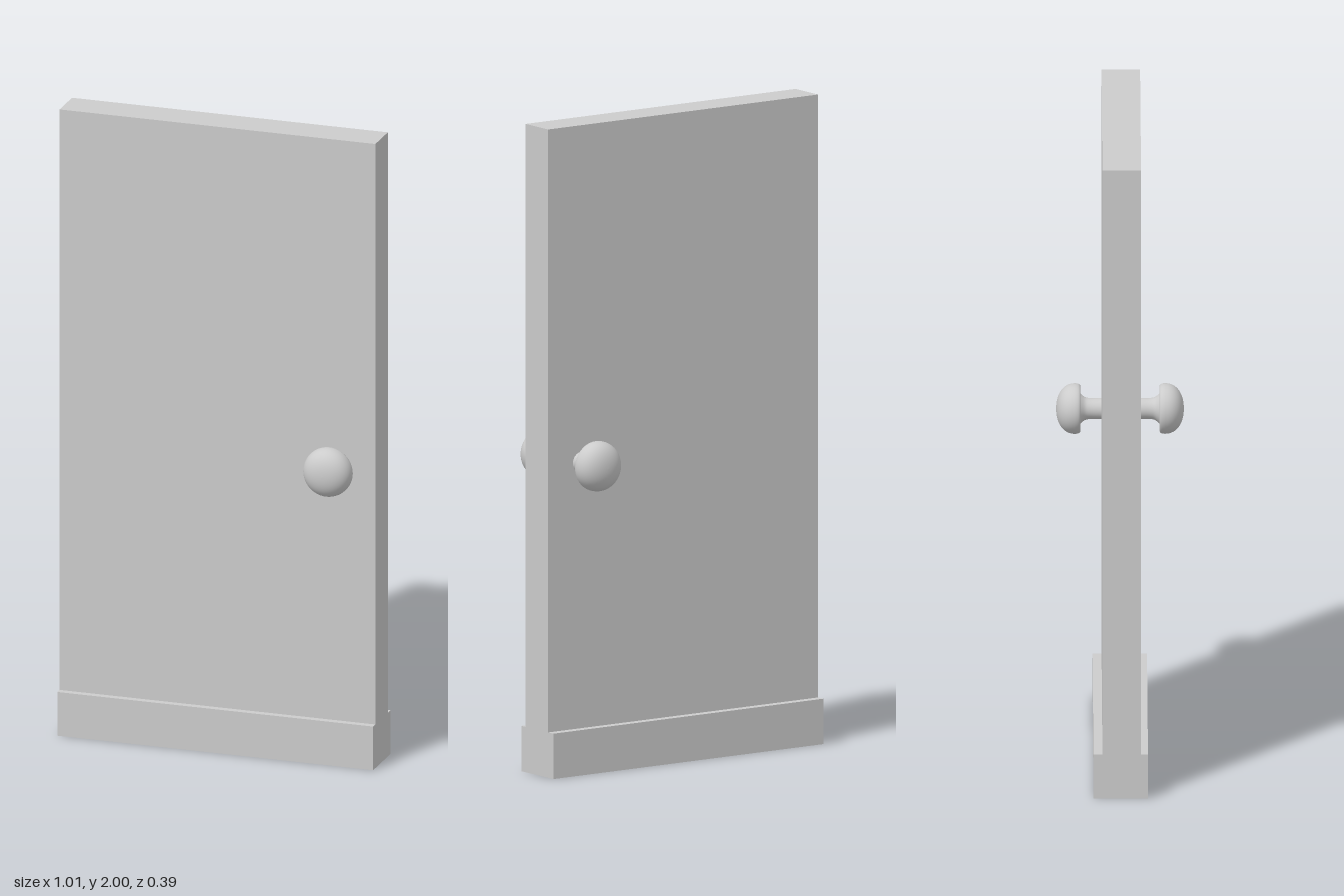
import * as THREE from 'three';

const material = new THREE.MeshStandardMaterial({ color: 0xcccccc });

function addMesh(parent, name, geometry) {
  const mesh = new THREE.Mesh(geometry, material);
  mesh.name = name;
  parent.add(mesh);
  return mesh;
}

// Knob turned around y: y is the distance from the middle of the door
function makeKnob(name) {
  const knob = new THREE.Group();
  knob.name = name;

  // Slim neck flaring out under the head
  const neck = new THREE.SplineCurve([
    [0.033, 0.045], [0.032, 0.07], [0.032, 0.09], [0.035, 0.106], [0.046, 0.12],
  ].map(([r, y]) => new THREE.Vector2(r, y)));
  addMesh(knob, 'knobNeck', new THREE.LatheGeometry(neck.getPoints(16), 48));

  // Flat underside of the head
  addMesh(knob, 'knobUnderside', new THREE.LatheGeometry(
    [new THREE.Vector2(0.03, 0.12), new THREE.Vector2(0.068, 0.12)], 48));

  // Rounded rim and shallow dome
  const head = new THREE.Path();
  head.moveTo(0.068, 0.12);
  head.bezierCurveTo(0.074, 0.12, 0.077, 0.127, 0.077, 0.137);
  head.bezierCurveTo(0.077, 0.172, 0.046, 0.194, 0, 0.194);
  addMesh(knob, 'knobHead', new THREE.LatheGeometry(head.getPoints(16), 48));
  return knob;
}

export function createModel() {
  const model = new THREE.Group();
  model.name = 'door';

  // Slab, set slightly forward on the kick board
  addMesh(model, 'doorPanel', new THREE.BoxGeometry(1.013, 1.86, 0.117)).position.set(0, 1.07, 0.003);
  addMesh(model, 'kickBoard', new THREE.BoxGeometry(1.013, 0.14, 0.165)).position.set(0, 0.07, 0);

  // One knob on each face
  for (const side of [1, -1]) {
    const knob = makeKnob(side > 0 ? 'frontKnob' : 'backKnob');
    knob.rotation.x = side * Math.PI / 2;
    knob.position.set(0.381, 0.96, 0);
    model.add(knob);
  }
  return model;
}
